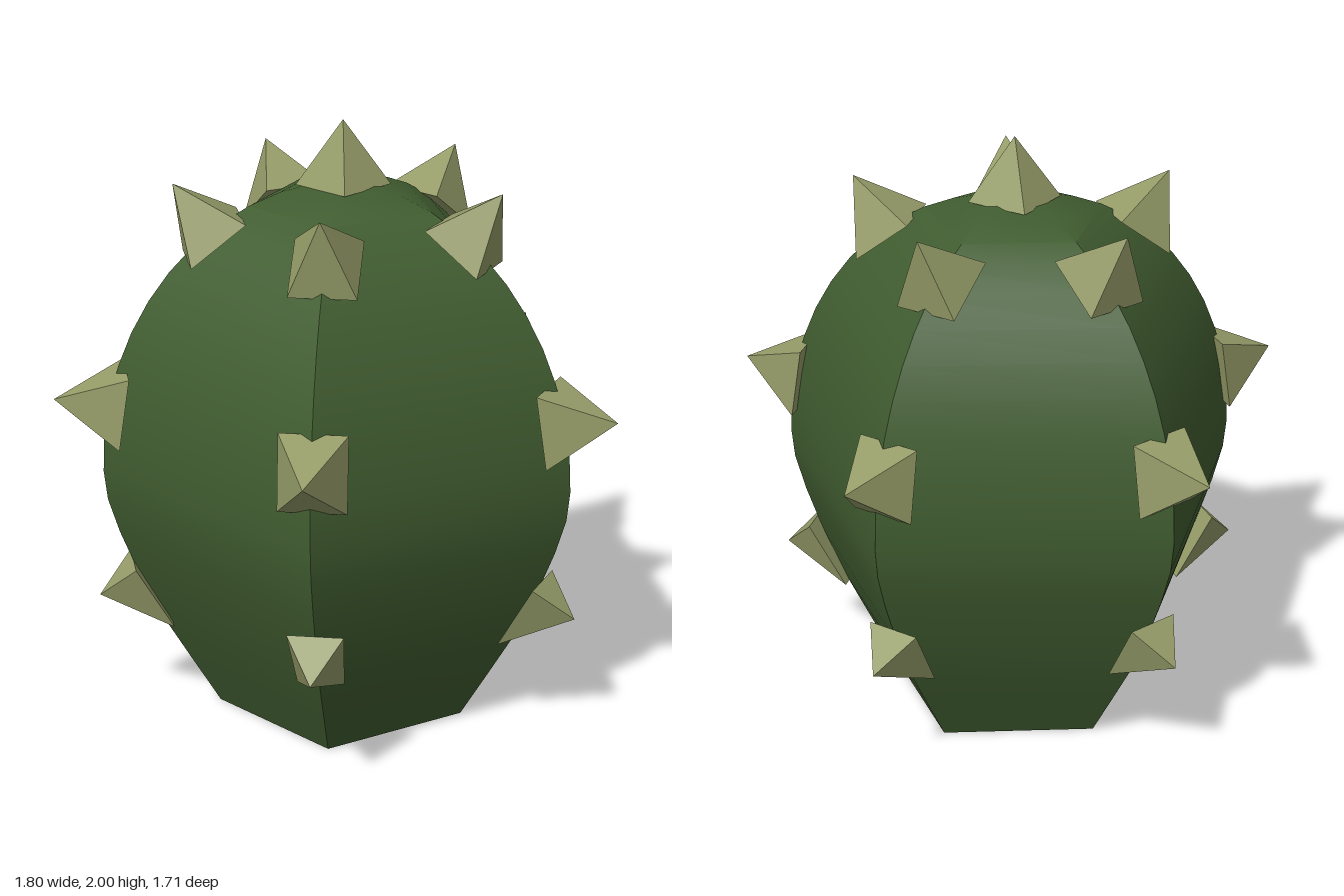
import * as THREE from 'three';
import { toCreasedNormals } from 'three/addons/utils/BufferGeometryUtils.js';

const SIDES = 5;
const AXIS_Z = 0.09;

// Square-based thorn pointing along local +z; each edge is [z, y, halfWidth], tip is [z, y].
function thornGeometry(upper, lower, tip) {
  const corner = ([z, y, w], side) => [side * w, y, z];
  const ring = [corner(lower, -1), corner(lower, 1), corner(upper, 1), corner(upper, -1)];
  const apex = [0, tip[1], tip[0]];
  const points = [];
  for (let i = 0; i < 4; i++) points.push(...ring[i], ...ring[(i + 1) % 4], ...apex);
  points.push(...ring[0], ...ring[2], ...ring[1], ...ring[0], ...ring[3], ...ring[2]);
  const geometry = new THREE.BufferGeometry();
  geometry.setAttribute('position', new THREE.Float32BufferAttribute(points, 3));
  geometry.computeVertexNormals();
  return geometry;
}

export function createModel() {
  const model = new THREE.Group();
  model.name = 'cactus';
  const green = new THREE.MeshStandardMaterial({ color: 0x405c30, side: THREE.DoubleSide });
  green.name = 'cactusGreen';
  const olive = new THREE.MeshStandardMaterial({ color: 0x959c68 });
  olive.name = 'thornOlive';

  // Five-ridged body, tapered below, domed above and open at the base
  const profile = [[0.431, 0], [0.525, 0.165], [0.615, 0.325], [0.69, 0.49], [0.75, 0.65], [0.785, 0.77]]
    .map(([r, y]) => new THREE.Vector2(r, y));
  const rings = 12;
  for (let i = 0; i <= rings; i++) {
    const a = (i / rings) * Math.PI / 2;
    profile.push(new THREE.Vector2(i === rings ? 0 : 0.795 * Math.cos(a), 0.87 + 0.935 * Math.sin(a)));
  }
  const body = new THREE.Mesh(
    toCreasedNormals(new THREE.LatheGeometry(profile, SIDES, Math.PI), 0.6), green);
  body.name = 'body';
  body.position.z = AXIS_Z;
  model.add(body);

  // Three rows of thorns along every ridge
  const rows = {
    lowerThorn: thornGeometry([0.71, 0.546, 0.09], [0.588, 0.324, 0.075], [0.824, 0.43]),
    middleThorn: thornGeometry([0.711, 1.215, 0.107], [0.75, 0.976, 0.107], [0.944, 1.13]),
    upperThorn: thornGeometry([0.329, 1.703, 0.107], [0.504, 1.57, 0.107], [0.543, 1.82]),
  };
  for (const [name, geometry] of Object.entries(rows)) {
    for (let k = 0; k < SIDES; k++) {
      const thorn = new THREE.Mesh(geometry, olive);
      thorn.name = name;
      thorn.position.z = AXIS_Z;
      thorn.rotation.y = Math.PI + (k * 2 * Math.PI) / SIDES;
      model.add(thorn);
    }
  }

  // Single thorn on the crown
  const crown = new THREE.Mesh(
    thornGeometry([-0.107, 1.79, 0.107], [0.107, 1.79, 0.107], [0, 2]), olive);
  crown.name = 'crownThorn';
  crown.position.z = AXIS_Z;
  model.add(crown);

  return model;
}
